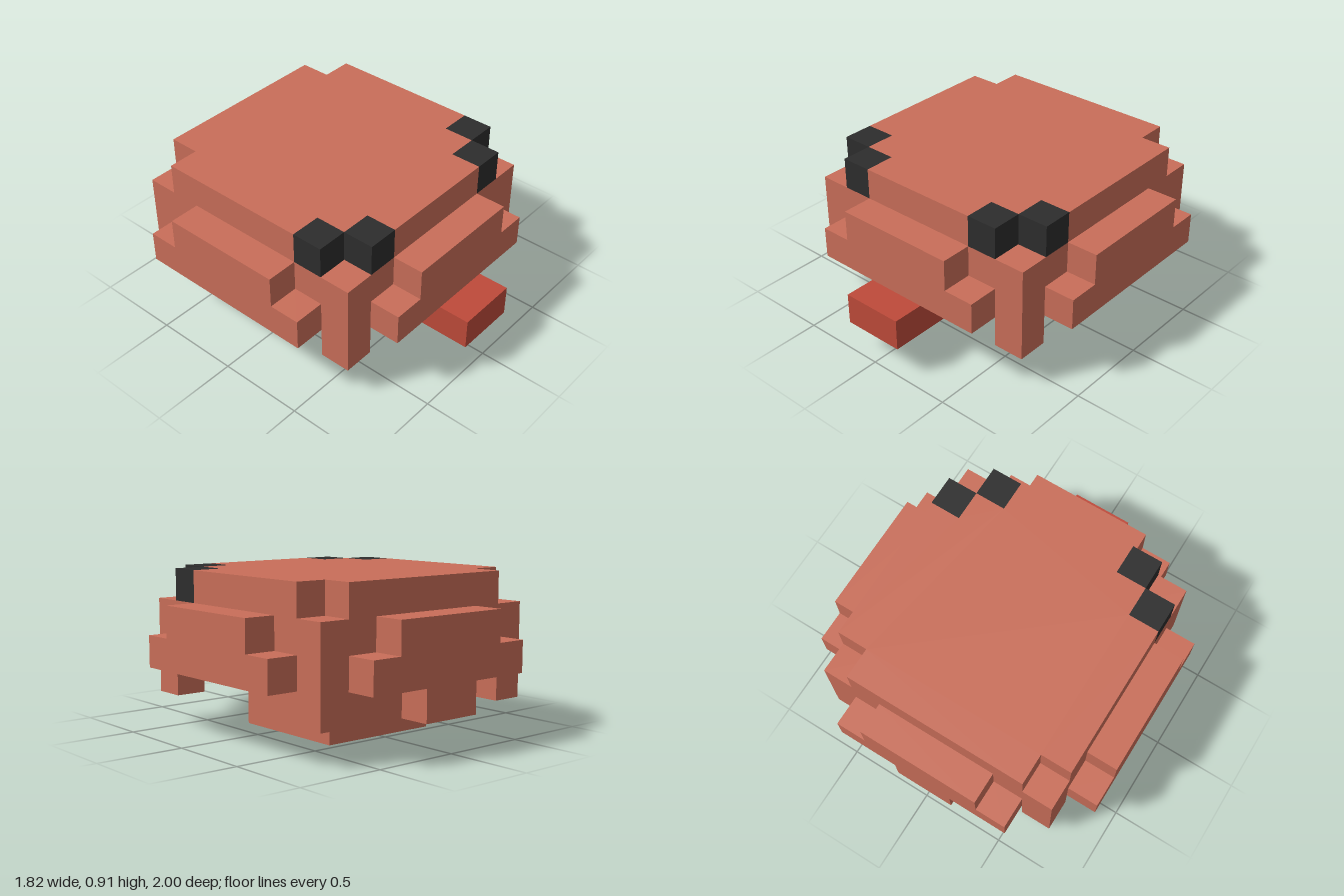
import * as THREE from 'three';

const U = 2 / 11; // one block

export function createModel() {
  const skin = new THREE.MeshStandardMaterial({ color: 0xc96e59 });
  skin.name = 'terracotta';
  const red = new THREE.MeshStandardMaterial({ color: 0xbe4a3a });
  red.name = 'red';
  const black = new THREE.MeshStandardMaterial({ color: 0x2d2d2d });
  black.name = 'black';

  const model = new THREE.Group();
  model.name = 'blockCreature';

  // Box from its limits, in blocks
  function box(name, material, [x0, x1], [y0, y1], [z0, z1]) {
    const mesh = new THREE.Mesh(new THREE.BoxGeometry((x1 - x0) * U, (y1 - y0) * U, (z1 - z0) * U), material);
    mesh.position.set((x0 + x1) / 2 * U, (y0 + y1) / 2 * U, (z0 + z1) / 2 * U);
    mesh.name = name;
    model.add(mesh);
  }

  // Solid from an outline in blocks, extruded one block
  function slab(name, outline) {
    const shape = new THREE.Shape(outline.map(([a, b]) => new THREE.Vector2(a * U, b * U)));
    const mesh = new THREE.Mesh(new THREE.ExtrudeGeometry(shape, { depth: U, bevelEnabled: false }), skin);
    mesh.name = name;
    model.add(mesh);
    return mesh;
  }

  // Body and the block it stands on
  box('body', skin, [-4, 4], [2, 4], [-4.5, 3.5]);
  box('base', skin, [-2, 2], [0, 2], [-2.5, 1.5]);

  // Top of the head, notched at the corners (outline is x, -z)
  const half = [[2, -3.5], [2, -2.5], [3, -2.5], [3, -1.5], [4, -1.5], [4, 3.5], [3, 3.5], [3, 4.5]];
  const crown = slab('crown', [...half, ...half.map(([x, z]) => [-x, z]).reverse()]);
  crown.rotation.x = -Math.PI / 2;
  crown.position.y = 4 * U;

  // Stepped plates round the body
  const plate = [[-3, 2], [3, 2], [3, 3], [2, 3], [2, 4], [-2, 4], [-2, 3], [-3, 3]];
  slab('frontPlate', plate).position.z = 3.5 * U;
  const tailed = [[-3, 2], [-1, 2], [-1, 1], [1, 1], [1, 2], ...plate.slice(1)];
  slab('backPlate', tailed).position.z = -5.5 * U;

  for (const s of [-1, 1]) {
    const span = (a, b) => (s > 0 ? [a, b] : [-b, -a]);
    const side = s > 0 ? 'left' : 'right';
    const sidePlate = slab(side + 'SidePlate', plate);
    sidePlate.rotation.y = s * Math.PI / 2;
    sidePlate.position.set(s * 4 * U, 0, -0.5 * U);

    // Corner legs
    box(side + 'FrontLeg', skin, span(3, 4), [1, 2], [2.5, 3.5]);
    box(side + 'BackLeg', skin, span(3, 4), [1, 2], [-4.5, -3.5]);

    // Eyes wrap round the front corners
    box(side + 'OuterEye', black, span(3, 4), [4, 5], [1.5, 2.5]);
    box(side + 'InnerEye', black, span(2, 3), [4, 5], [2.5, 3.5]);
  }

  box('tongue', red, [-1, 1], [1, 2], [3.5, 5.5]);

  return model;
}
